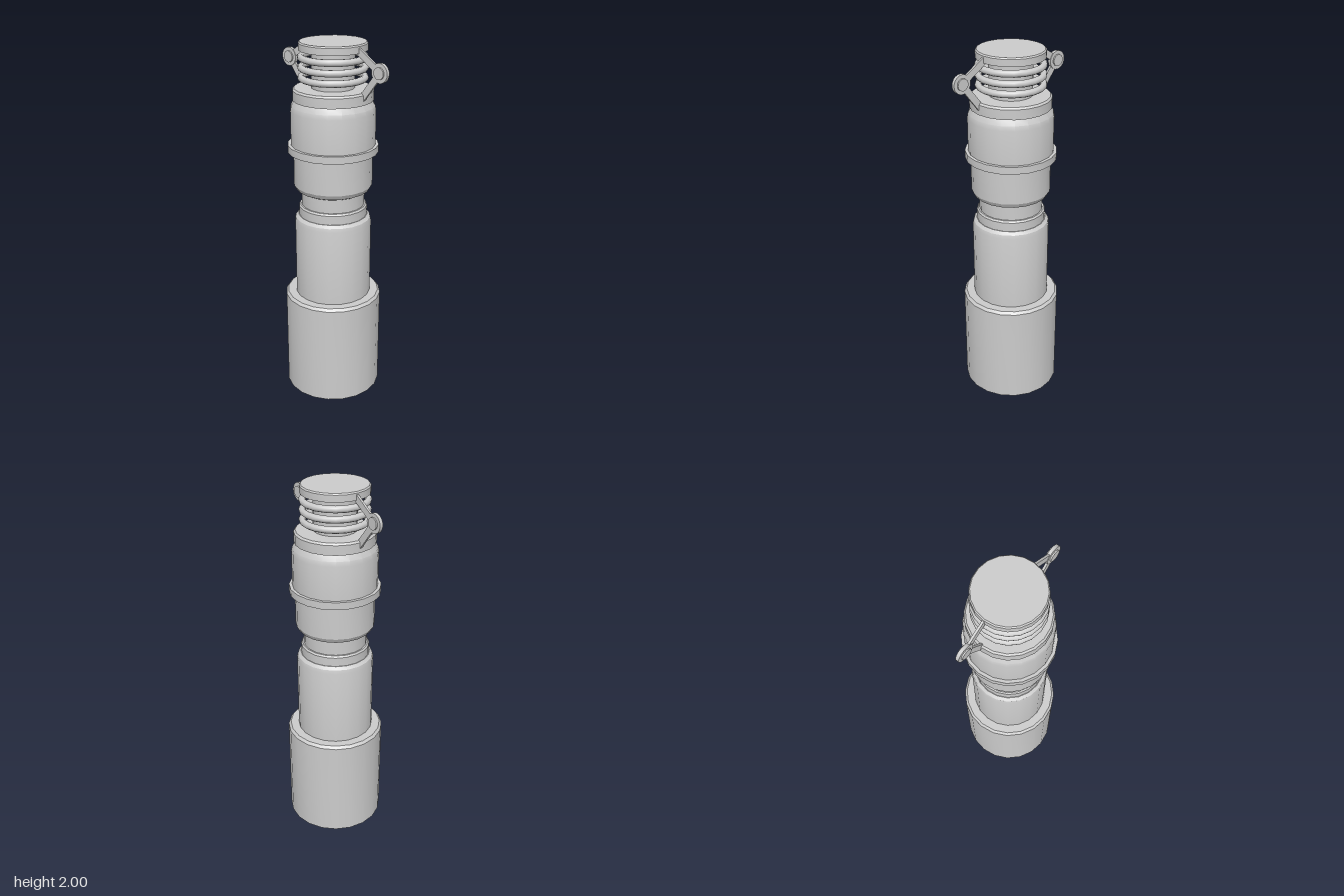
import * as THREE from 'three';
import { toCreasedNormals } from 'three/addons/utils/BufferGeometryUtils.js';

const SIDES = 20;
const material = new THREE.MeshStandardMaterial({ color: 0xcccccc });

function addMesh(parent, name, geometry) {
  const mesh = new THREE.Mesh(geometry, material);
  mesh.name = name;
  parent.add(mesh);
  return mesh;
}

// Solid turned part from [radius, height] pairs, closed at both ends
function addTurned(parent, name, profile) {
  const first = profile[0], last = profile[profile.length - 1];
  const points = [[0, first[1]], ...profile, [0, last[1]]].map(([r, y]) => new THREE.Vector2(r, y));
  return addMesh(parent, name, toCreasedNormals(new THREE.LatheGeometry(points, SIDES), 0.4));
}

// Flat bar in the xy plane between two points
function addBar(parent, name, [x1, y1], [x2, y2], width, depth) {
  const bar = addMesh(parent, name, new THREE.BoxGeometry(Math.hypot(x2 - x1, y2 - y1), width, depth));
  bar.position.set((x1 + x2) / 2, (y1 + y2) / 2, 0);
  bar.rotation.z = Math.atan2(y2 - y1, x2 - x1);
}

// Disc whose axis lies along z
function addDisc(parent, name, [x, y], radius, depth) {
  const geometry = new THREE.CylinderGeometry(radius, radius, depth, SIDES).rotateX(Math.PI / 2);
  addMesh(parent, name, toCreasedNormals(geometry, 0.5)).position.set(x, y, 0);
}

export function createModel() {
  const model = new THREE.Group();
  model.name = 'steppedCylinder';

  // Stacked turned sections, bottom to top
  addTurned(model, 'base', [[0.27, 0], [0.27, 0.575], [0.257, 0.59]]);
  addTurned(model, 'lowerBody', [[0.211, 0.58], [0.211, 1.025], [0.206, 1.045], [0.19, 1.06]]);
  addTurned(model, 'collar', [[0.187, 1.05], [0.187, 1.11], [0.18, 1.12]]);
  addTurned(model, 'neck', [[0.172, 1.11], [0.172, 1.22]]);
  addTurned(model, 'head', [
    [0.18, 1.2], [0.2, 1.21], [0.214, 1.235], [0.214, 1.45],
  ]);
  addTurned(model, 'flange', [[0.244, 1.42], [0.244, 1.46]]);
  addTurned(model, 'upperBody', [
    [0.227, 1.45], [0.227, 1.645], [0.222, 1.67], [0.205, 1.7],
  ]);
  addTurned(model, 'shoulderRing', [[0.214, 1.7], [0.214, 1.752], [0.205, 1.762]]);
  addTurned(model, 'stem', [[0.114, 1.75], [0.114, 1.97]]);
  addTurned(model, 'topCap', [[0.18, 1.957], [0.18, 1.993], [0.174, 2]]);

  // Spring coils around the stem
  for (const y of [1.815, 1.867, 1.919]) {
    const coil = new THREE.TorusGeometry(0.167, 0.018, 10, SIDES).rotateX(Math.PI / 2);
    addMesh(model, 'springCoil', coil).position.y = y;
  }

  // Hinged toggle links on both sides
  const pivot = [0.314, 1.88];
  for (const side of ['left', 'right']) {
    const link = new THREE.Group();
    link.name = side + 'ToggleLink';
    addBar(link, 'upperArm', [0.165, 1.974], pivot, 0.036, 0.012);
    addBar(link, 'lowerArm', [0.2, 1.735], pivot, 0.036, 0.012);
    addDisc(link, 'pivotDisc', pivot, 0.05, 0.018);
    addDisc(link, 'pivotPin', pivot, 0.031, 0.033);
    link.rotation.y = side === 'left' ? -0.008 : Math.PI - 0.008;
    model.add(link);
  }
  return model;
}
